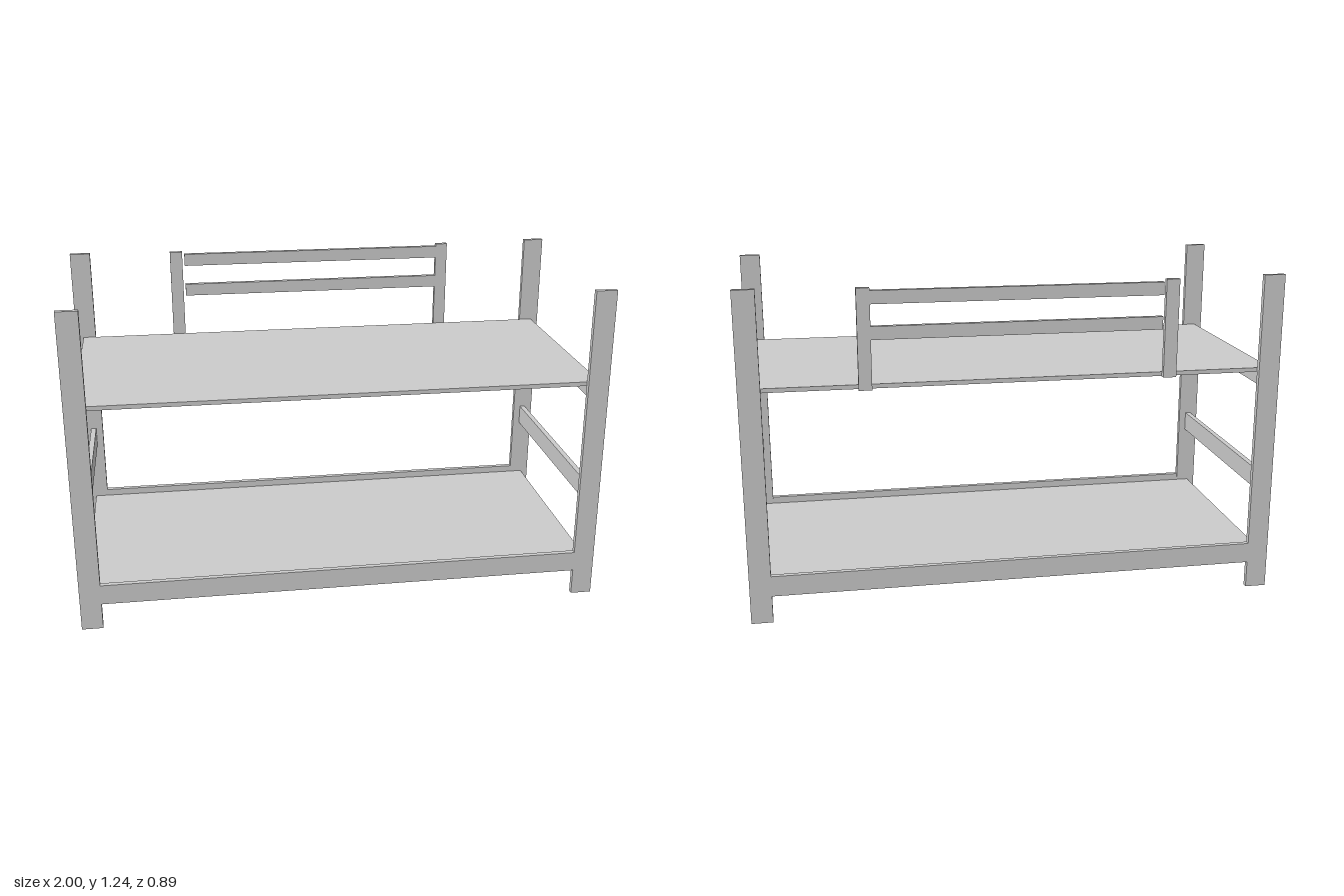
import * as THREE from 'three';

export function createModel() {
  const model = new THREE.Group();
  const material = new THREE.MeshStandardMaterial({ color: 0xcccccc, flatShading: true });

  // Add a plank given its extents along each axis
  function plank(name, [x0, x1], [y0, y1], [z0, z1], parent = model) {
    const mesh = new THREE.Mesh(new THREE.BoxGeometry(x1 - x0, y1 - y0, z1 - z0), material);
    mesh.position.set((x0 + x1) / 2, (y0 + y1) / 2, (z0 + z1) / 2);
    mesh.name = name;
    parent.add(mesh);
  }

  const frontZ = [0.422, 0.442];
  const backZ = [-0.445, -0.425];
  const innerZ = [-0.425, 0.422];

  for (const [side, s] of [['left', 1], ['right', -1]]) {
    const span = (a, b) => (s > 0 ? [a, b] : [-b, -a]);

    // Corner posts
    plank(`${side}FrontPost`, span(0.92, 1), [0, 1.24], frontZ);
    plank(`${side}BackPost`, span(0.92, 1), [0, 1.24], backZ);

    // Cross rails joining the posts at each end
    [['lower', 0.072, 0.15], ['middle', 0.397, 0.475], ['upper', 0.807, 0.882]].forEach(([level, y0, y1]) => {
      plank(`${side}${level}EndRail`, span(0.948, 0.969), [y0, y1], innerZ);
    });
  }

  // Sleeping platforms
  plank('lowerPlatform', [-0.97, 0.97], [0.139, 0.155], innerZ);
  plank('upperPlatform', [-0.97, 0.97], [0.87, 0.886], innerZ);

  // Long side rails of the lower bunk
  plank('frontSideRail', [-0.92, 0.92], [0.104, 0.182], [0.425, 0.445]);
  plank('backSideRail', [-0.92, 0.92], [0.104, 0.182], backZ);

  // Guard rail behind the upper bunk
  const guard = new THREE.Group();
  guard.name = 'guardRail';
  model.add(guard);
  plank('guardRightPost', [-0.595, -0.545], [0.868, 1.235], backZ, guard);
  plank('guardLeftPost', [0.53, 0.578], [0.868, 1.235], backZ, guard);
  plank('guardLowerBar', [-0.536, 0.53], [1.05, 1.098], backZ, guard);
  plank('guardUpperBar', [-0.536, 0.53], [1.177, 1.225], backZ, guard);

  return model;
}
